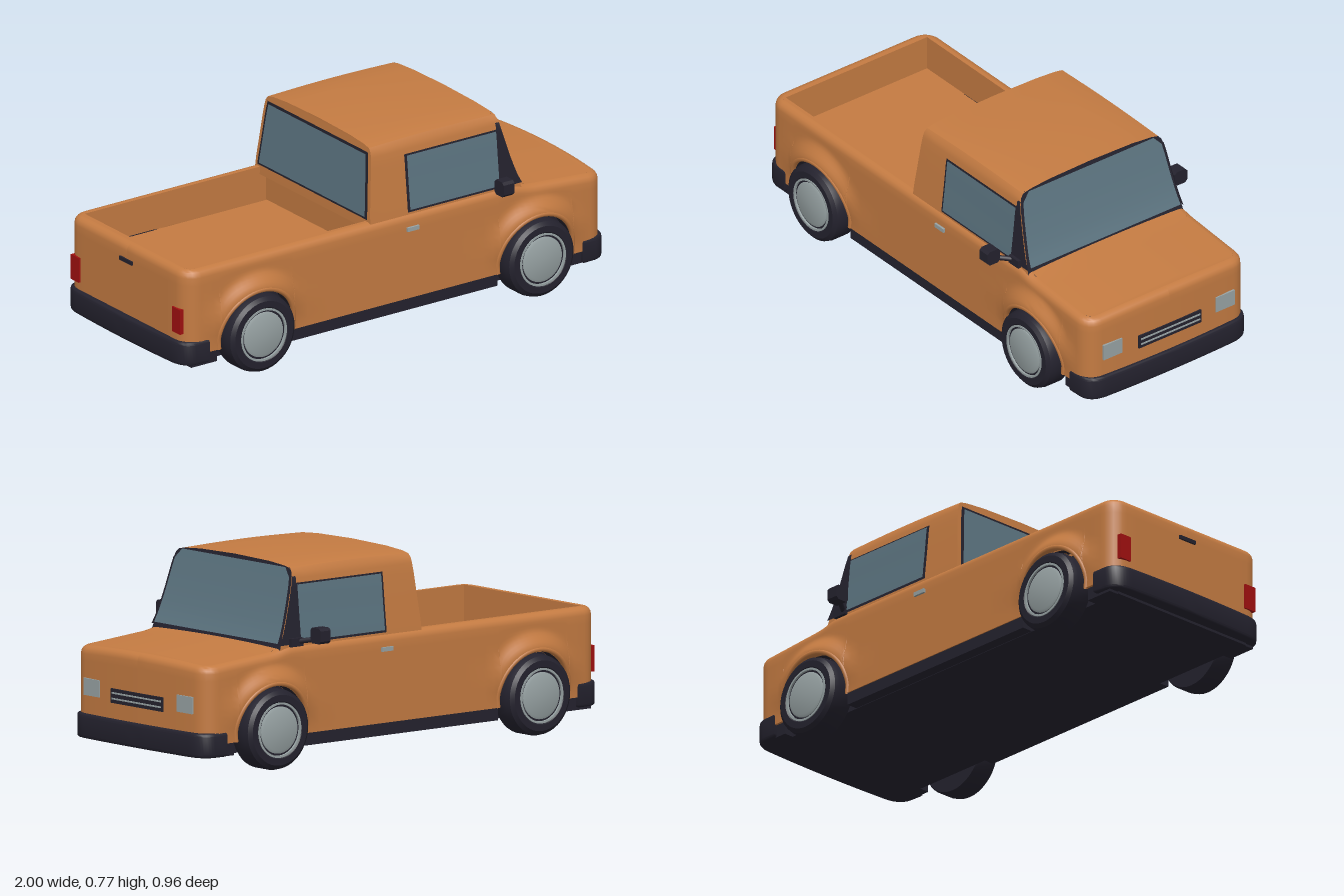
import * as THREE from 'three';
import { toCreasedNormals } from 'three/addons/utils/BufferGeometryUtils.js';

const mat = (name, color) => new THREE.MeshStandardMaterial({ name, color, side: THREE.DoubleSide });
const clamp = THREE.MathUtils.clamp, smooth = THREE.MathUtils.smoothstep, lerp = THREE.MathUtils.lerp;

// Surface through rows of [x, y, z] points
function grid(rows, crease = 0.6) {
  const n = rows[0].length, index = [];
  for (let i = 0; i < rows.length - 1; i++)
    for (let j = 0; j < n - 1; j++) {
      const a = i * n + j, b = a + n;
      index.push(a, b, a + 1, b, b + 1, a + 1);
    }
  const g = new THREE.BufferGeometry();
  g.setAttribute('position', new THREE.Float32BufferAttribute(rows.flat(2), 3));
  g.setIndex(index);
  return toCreasedNormals(g, crease);
}

export function createModel() {
  const truck = new THREE.Group();
  truck.name = 'pickupTruck';
  const paint = mat('orange paint', 0xc47b42), dark = mat('dark trim', 0x24222e);
  const glass = mat('glass', 0x5c7480), silver = mat('silver', 0x98a3a4), red = mat('red lens', 0xa01010);
  const add = (name, geo, m, parent = truck) => {
    const mesh = new THREE.Mesh(geo, m);
    mesh.name = name;
    parent.add(mesh);
    return mesh;
  };
  const box = (name, m, x0, x1, y0, y1, z0, z1) =>
    add(name, new THREE.BoxGeometry(x1 - x0, y1 - y0, Math.abs(z1 - z0)), m)
      .position.set((x0 + x1) / 2, (y0 + y1) / 2, (z0 + z1) / 2);

  // Lower body: rounded plan outline, wheel arches and flares
  const CX = 0.905, CZ = 0.315, R = 0.07, AX = 0.65, AY = 0.155, AR = 0.17, ROUND = 0.03;
  const bow = z => 0.01 * (1 - (z / CZ) ** 2);
  const topY = (x, z) => 0.46 - 0.017 * smooth(x, 0.54, 0.64) - 0.025 * clamp((x - 0.62) / 0.32, 0, 1)
    + 0.012 * smooth(x, 0.54, 0.64) * Math.max(0, 1 - (z / 0.355) ** 2);
  const columns = []; // each: { at(inset) -> [x, z], bottom, side }
  const end = (s, z) => columns.push({ at: d => [s * (CX + R - d) + (s > 0 ? bow(z) : 0), z], bottom: 0.12 });
  const corner = (s, a) => columns.push({ at: d => [s * (CX + (R - d) * Math.sin(a)), CZ + (R - d) * Math.cos(a)], bottom: 0.12 });
  const side = (x, bottom = 0.12) => columns.push({ at: d => [x, CZ + R - d], bottom, side: true });
  const arch = c => {
    side(c - AR - 0.03); side(c - AR - 0.001);
    for (let i = 0; i <= 20; i++) {
      const a = Math.PI * (1 - i / 20);
      side(c + AR * Math.cos(a), AY + AR * Math.sin(a));
    }
    side(c + AR + 0.001); side(c + AR + 0.03);
  };
  for (let i = 0; i < 6; i++) end(-1, CZ * i / 6);
  for (let i = 0; i <= 6; i++) corner(-1, Math.PI / 2 * (1 - i / 6));
  arch(-AX);
  for (const x of [-0.41, -0.3, 0, 0.3, 0.41]) side(x);
  arch(AX);
  for (let i = 0; i <= 6; i++) corner(1, Math.PI / 2 * i / 6);
  for (let i = 5; i >= 0; i--) end(1, CZ * i / 6);

  const wall = columns.map(c => {
    const [ix, iz] = c.at(ROUND), top = topY(ix, iz), pts = [];
    const put = (y, d) => {
      const [x, z] = c.at(d);
      const dx = Math.abs(x) - AX, r = Math.hypot(dx, y - AY);
      const flare = c.side ? 0.036 * smooth(0.25 - r, 0, 0.07) * clamp((y - AY) / r, 0, 1) : 0;
      pts.push([x, y, z + flare]);
    };
    put(c.bottom, 0.03);
    for (let i = 0; i <= 10; i++) put(lerp(c.bottom, top - ROUND, i / 10), 0);
    for (let i = 1; i <= 4; i++) {
      const a = Math.PI / 2 * i / 4;
      put(top - ROUND + ROUND * Math.sin(a), ROUND * (1 - Math.cos(a)));
    }
    return pts;
  });
  const mirrored = wall.map(col => col.map(([x, y, z]) => [x, y, -z]));
  add('bodySideLeft', grid(mirrored.reverse()), paint);
  add('bodySideRight', grid(wall), paint);

  // Hood and cowl
  const hood = [];
  const hoodRow = (x, hw, last) => hood.push(Array.from({ length: 13 }, (_, j) => {
    const z = hw * (1 - j / 6);
    return [x + (last ? bow(z) : 0), topY(x, z), z];
  }));
  for (const x of [0.45, 0.54, 0.57, 0.6, 0.64, 0.7, 0.8, CX]) hoodRow(x, CZ + R - ROUND);
  for (let i = 1; i <= 5; i++) {
    const a = Math.PI / 2 * i / 5, r = R - ROUND;
    hoodRow(CX + r * Math.sin(a), CZ + r * Math.cos(a), i === 5);
  }
  add('hood', grid(hood), paint);

  // Cargo bed: rim with inner walls, then floor
  const rim = new THREE.Shape();
  rim.moveTo(0.1, -0.355).lineTo(-0.905, -0.355).quadraticCurveTo(-0.945, -0.355, -0.945, -0.315)
    .lineTo(-0.945, 0.315).quadraticCurveTo(-0.945, 0.355, -0.905, 0.355).lineTo(0.1, 0.355).closePath();
  const well = new THREE.Path();
  well.moveTo(-0.925, -0.34).lineTo(-0.08, -0.34).lineTo(-0.08, 0.34).lineTo(-0.925, 0.34).closePath();
  rim.holes.push(well);
  add('bedRim', new THREE.ExtrudeGeometry(rim, { depth: 0.14, bevelEnabled: false }).rotateX(Math.PI / 2), paint).position.y = 0.46;
  box('bedFloor', paint, -0.94, -0.05, 0.305, 0.315, -0.345, 0.345);

  // Cab: half cross-section [z, y] swept between a slanted back and front
  const section = [[0.374, 0.43], [0.367, 0.5], [0.358, 0.58], [0.349, 0.67], [0.343, 0.71],
    [0.338, 0.73], [0.325, 0.745], [0.29, 0.752], [0.2, 0.759], [0, 0.763]];
  const rise = y => clamp((y - 0.46) / 0.3, 0, 1);
  const backX = y => -0.11 + 0.03 * rise(y);
  const frontX = y => 0.6 - 0.1 * rise(y) ** 0.75;
  const cabZ = y => {
    const i = clamp(section.findIndex(p => p[1] >= y), 1, section.length - 1);
    const [a, b] = [section[i - 1], section[i]];
    return lerp(a[0], b[0], (y - a[1]) / (b[1] - a[1]));
  };
  const loop = [...section, ...section.slice(0, -1).reverse().map(([z, y]) => [-z, y])];
  const sweep = [];
  for (let i = 0; i <= 10; i++)
    sweep.push(loop.map(([z, y]) => [lerp(backX(y), frontX(y), i / 10),
      y + 0.006 * Math.sin(Math.PI * i / 10) * smooth(y, 0.72, 0.75), z]));
  add('cabShell', grid(sweep), paint);
  add('cabBack', grid(section.map(([z, y]) => [[backX(y), y, -z], [backX(y), y, z]])), paint);
  add('windshieldFrame', grid(section.map(([z, y]) => [[frontX(y), y, z], [frontX(y), y, -z]])), dark);

  // Windows and pillars as thin skins that follow the cab
  const levels = (y0, y1) => Array.from({ length: 9 }, (_, i) => lerp(y0, y1, i / 8));
  const endSkin = (name, m, y0, y1, inset, xAt) => add(name, grid(levels(y0, y1).map(y => {
    const z = cabZ(y) - inset, x = xAt(y);
    return xAt(0) > 0 ? [[x, y, z], [x, y, -z]] : [[x, y, -z], [x, y, z]];
  })), m);
  const sideSkin = (name, m, y0, y1, x0, x1, off, s) => add(name, grid(levels(y0, y1).map(y => {
    const z = s * (cabZ(y) + off), a = [x0, y, z], b = [x1(y), y, z];
    return s > 0 ? [a, b] : [b, a];
  })), m);
  endSkin('windshield', glass, 0.47, 0.748, 0.01, y => frontX(y) + 0.004);
  endSkin('rearWindowFrame', dark, 0.468, 0.728, 0.016, y => backX(y) - 0.002);
  endSkin('rearWindow', glass, 0.477, 0.718, 0.028, y => backX(y) - 0.005);

  // Underside
  box('chassis', dark, -0.95, 0.95, 0.07, 0.13, -0.335, 0.335);
  box('sills', dark, -0.478, 0.478, 0.072, 0.122, -0.381, 0.381);
  for (const s of [-1, 1]) box('chassisEnd', dark, s * 0.885 - 0.06, s * 0.885 + 0.06, 0.07, 0.12, -0.375, 0.375);

  // Bumpers
  const plan = new THREE.Shape();
  plan.moveTo(0.88, -0.38).lineTo(0.93, -0.378).quadraticCurveTo(0.98, -0.37, 0.983, -0.3)
    .quadraticCurveTo(0.997, 0, 0.983, 0.3).quadraticCurveTo(0.98, 0.37, 0.93, 0.378).lineTo(0.88, 0.38).closePath();
  const bumper = toCreasedNormals(new THREE.ExtrudeGeometry(plan, {
    depth: 0.07, bevelThickness: 0.012, bevelSize: 0.01, bevelSegments: 3, curveSegments: 10 }).rotateX(Math.PI / 2), 0.6);
  add('frontBumper', bumper, dark).position.y = 0.152;
  const rearBumper = add('rearBumper', bumper, dark);
  rearBumper.rotation.y = Math.PI;
  rearBumper.position.y = 0.162;

  // Grille and tailgate handle
  box('grille', dark, 0.975, 0.99, 0.225, 0.28, -0.15, 0.15);
  for (const y of [0.242, 0.264]) box('grilleBar', silver, 0.985, 0.993, y - 0.003, y + 0.003, -0.142, 0.142);
  box('tailgateHandle', dark, -0.982, -0.97, 0.385, 0.4, -0.04, 0.04);

  // Wheel profiles [radius, depth]
  const lathe = pts => toCreasedNormals(new THREE.LatheGeometry(pts.map(p => new THREE.Vector2(...p)), 40), 0.6);
  const tyre = lathe([[0, 0], [0.15, 0], [0.155, 0.008], [0.155, 0.07], [0.15, 0.09], [0.135, 0.102], [0.11, 0.102], [0.1, 0.094], [0, 0.094]]);
  const rimRing = lathe([[0.106, 0.09], [0.106, 0.102], [0.098, 0.102], [0.098, 0.09]]);
  const hub = lathe([[0.09, 0.09], [0.09, 0.098], [0.08, 0.102], [0, 0.104]]);

  for (const s of [-1, 1]) {
    // Side glass, pillar, door handle
    sideSkin('sideWindowFrame', dark, 0.463, 0.692, 0.066, () => 0.5, 0.002, s);
    sideSkin('sideWindow', glass, 0.472, 0.686, 0.076, () => 0.492, 0.005, s);
    sideSkin('frontPillar', dark, 0.463, 0.748, 0.494, frontX, 0.003, s);
    box('doorHandle', silver, 0.05, 0.105, 0.394, 0.41, s * 0.38, s * 0.394);

    // Mirror
    box('mirrorBase', dark, 0.49, 0.55, 0.455, 0.487, s * 0.355, s * 0.385);
    const arm = new THREE.LineCurve3(new THREE.Vector3(0.51, 0.472, s * 0.37), new THREE.Vector3(0.465, 0.485, s * 0.435));
    add('mirrorArm', new THREE.TubeGeometry(arm, 1, 0.01, 8), dark);
    const head = new THREE.Shape();
    head.moveTo(-0.02, -0.03).lineTo(0.02, -0.03).lineTo(0.03, -0.02).lineTo(0.03, 0.02)
      .lineTo(0.02, 0.03).lineTo(-0.02, 0.03).lineTo(-0.03, 0.02).lineTo(-0.03, -0.02).closePath();
    add('mirrorHead', new THREE.ExtrudeGeometry(head, { depth: 0.05, bevelEnabled: false })
      .rotateY(Math.PI / 2), dark).position.set(0.435, 0.5, s * 0.45);

    // Lamps
    box('headlight', silver, 0.962, 0.984, 0.235, 0.3, s * 0.225, s * 0.315);
    box('tailLight', red, -0.982, -0.956, 0.205, 0.305, s * 0.3, s * 0.352);

    // Wheels, dark wells and arch lips
    for (const x of [-AX, AX]) {
      const wheel = new THREE.Group();
      wheel.name = 'wheel';
      wheel.position.set(x, AY, s * 0.335);
      wheel.rotation.x = s * Math.PI / 2;
      add('tyre', tyre, dark, wheel);
      add('rimRing', rimRing, silver, wheel);
      add('hubcap', hub, silver, wheel);
      truck.add(wheel);
      add('wellPanel', new THREE.CircleGeometry(0.168, 32, 0, Math.PI), dark).position.set(x, AY, s * 0.343);
      add('wellLiner', new THREE.CylinderGeometry(0.169, 0.169, 0.045, 32, 1, true, Math.PI / 2, Math.PI)
        .rotateX(Math.PI / 2), dark).position.set(x, AY, s * 0.364);
      const lip = Array.from({ length: 17 }, (_, i) => {
        const a = lerp(-0.2, Math.PI + 0.2, i / 16);
        return new THREE.Vector3(x + 0.175 * Math.cos(a), AY + 0.175 * Math.sin(a), s * (0.381 + 0.033 * Math.max(0, Math.sin(a))));
      });
      add('archLip', new THREE.TubeGeometry(new THREE.CatmullRomCurve3(lip), 32, 0.01, 8), paint);
    }
  }
  return truck;
}
